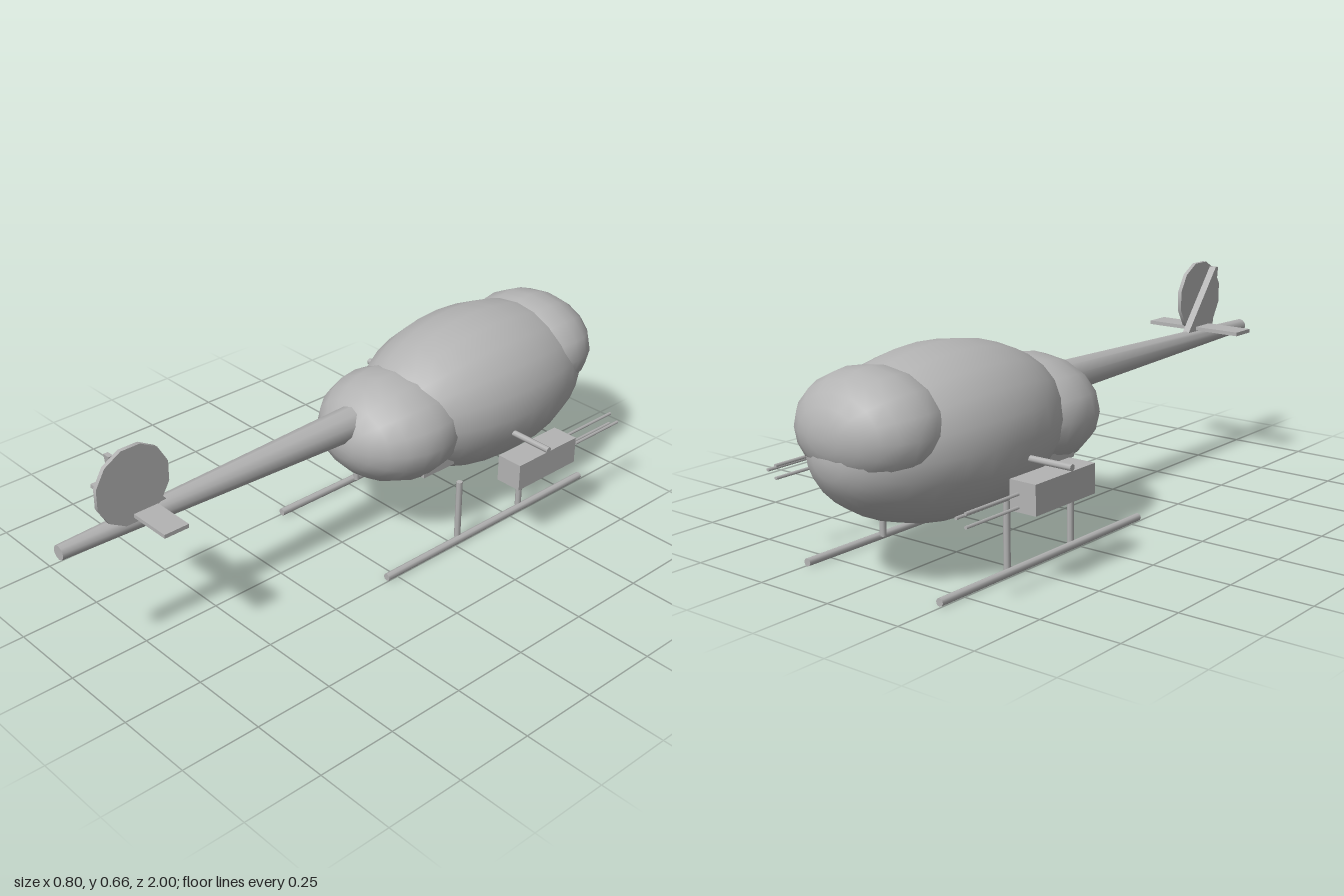
import * as THREE from 'three';

export function createModel() {
  const model = new THREE.Group();
  model.name = 'helicopter';
  const grey = new THREE.MeshStandardMaterial({ color: 0xb3b3b3 });
  grey.name = 'grey metal';

  function add(name, geometry, x = 0, y = 0, z = 0) {
    const mesh = new THREE.Mesh(geometry, grey);
    mesh.name = name;
    mesh.position.set(x, y, z);
    model.add(mesh);
    return mesh;
  }

  // Ellipsoid with its poles along z
  function ellipsoid(name, segments, rings, rx, ry, rz, y, z) {
    const g = new THREE.SphereGeometry(1, segments, rings);
    g.rotateX(Math.PI / 2).scale(rx, ry, rz);
    return add(name, g, 0, y, z);
  }

  // Cylinder along z from z0 to z1
  function rodZ(name, r0, r1, sides, x, y, z0, z1) {
    const g = new THREE.CylinderGeometry(r1, r0, Math.abs(z1 - z0), sides);
    g.rotateX(Math.PI / 2);
    return add(name, g, x, y, (z0 + z1) / 2);
  }

  // Prism with a (z, y) outline, centred across x
  function sidePlate(name, points, thickness) {
    const shape = new THREE.Shape(points.map(([z, y]) => new THREE.Vector2(-z, y)));
    const g = new THREE.ExtrudeGeometry(shape, { depth: thickness, bevelEnabled: false });
    g.translate(0, 0, -thickness / 2).rotateY(Math.PI / 2);
    return add(name, g);
  }

  // Fuselage
  ellipsoid('fuselage', 20, 16, 0.272, 0.243, 0.435, 0.373, -0.555);
  ellipsoid('canopy', 16, 12, 0.22, 0.16, 0.18, 0.437, -0.82);
  ellipsoid('rearFuselage', 16, 12, 0.228, 0.169, 0.22, 0.357, -0.2);

  // Tail
  rodZ('tailBoom', 0.053, 0.022, 10, 0, 0.417, -0.05, 1);
  sidePlate('tailFin', [[0.645, 0.43], [0.80, 0.43], [0.83, 0.645], [0.815, 0.645]], 0.024);
  add('stabilizer', new THREE.BoxGeometry(0.342, 0.012, 0.08), 0, 0.453, 0.74);
  const disc = new THREE.CylinderGeometry(0.12, 0.12, 0.013, 12);
  disc.rotateY(Math.PI / 12).rotateZ(Math.PI / 2);
  add('tailRotorDisc', disc, 0.028, 0.547, 0.775);

  // Crossbar carrying the weapon pods
  add('podCrossbar', new THREE.CylinderGeometry(0.01, 0.01, 0.8, 8).rotateZ(Math.PI / 2), 0, 0.317, -0.485);

  for (const s of [-1, 1]) {
    // Pod with three barrels in a triangle
    add('gunPod', new THREE.BoxGeometry(0.087, 0.086, 0.255), s * 0.345, 0.259, -0.4975);
    for (let i = 0; i < 3; i++) {
      const a = (i * Math.PI * 2) / 3;
      rodZ('gunBarrel', 0.005, 0.005, 6,
        s * 0.344 + 0.021 * Math.cos(a), 0.26 + 0.021 * Math.sin(a), -0.655, -0.86);
    }

    // Landing gear
    rodZ('skid', 0.012, 0.012, 8, s * 0.244, 0.013, 0.04, -0.84);
    for (const z of [-0.275, -0.555]) {
      add('skidStrut', new THREE.CylinderGeometry(0.01, 0.01, 0.2, 8), s * 0.232, 0.115, z);
    }

    // Small wedge under the rear fuselage
    const wedge = new THREE.Shape([
      new THREE.Vector2(s * 0.145, 0.238),
      new THREE.Vector2(s * 0.172, 0.238),
      new THREE.Vector2(s * 0.172, 0.267),
    ]);
    add('lowerWedge', new THREE.ExtrudeGeometry(wedge, { depth: 0.13, bevelEnabled: false }), 0, 0, -0.31);
  }

  return model;
}
